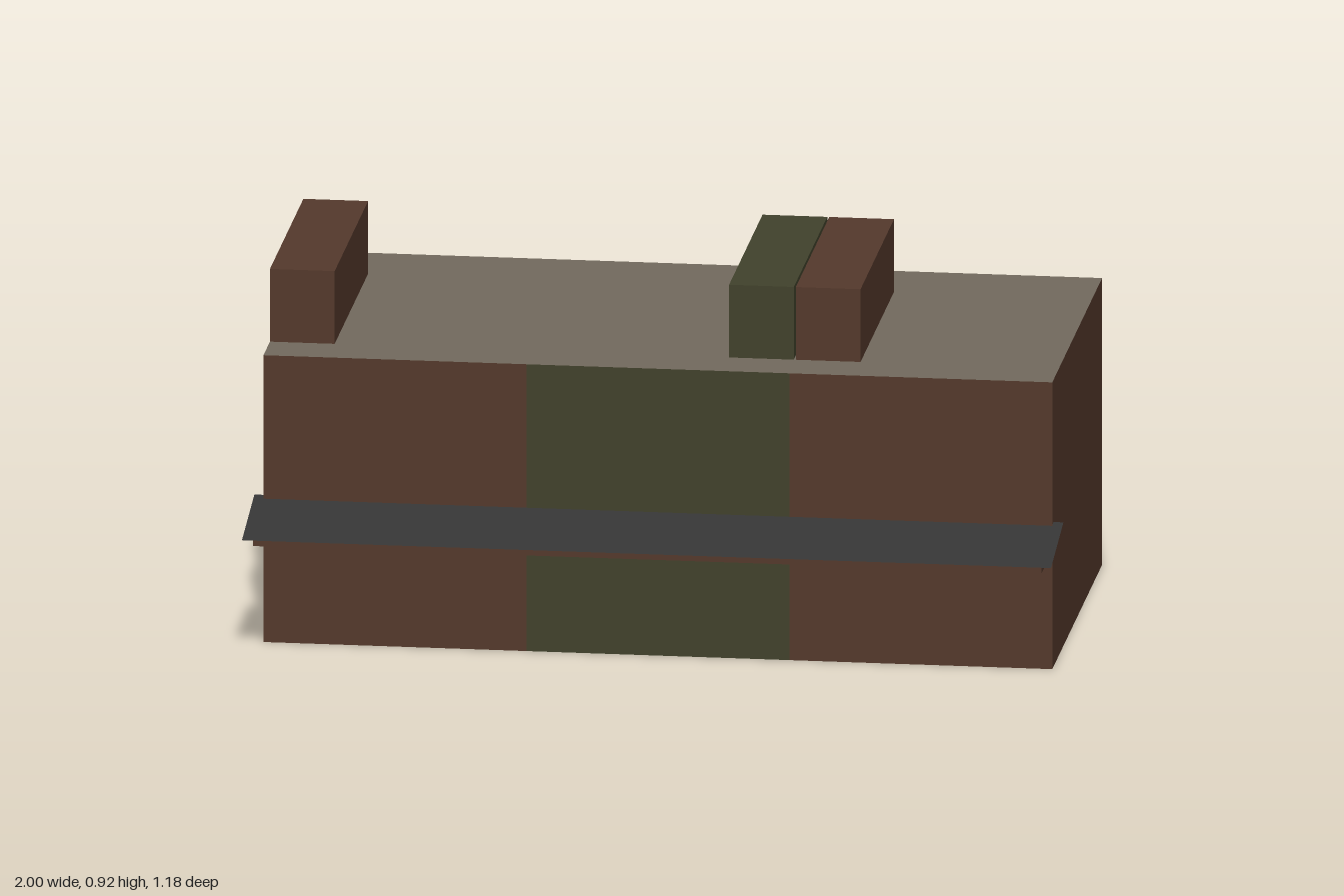
import * as THREE from 'three';

export function createModel() {
  const model = new THREE.Group();
  model.name = 'terracedBuilding';

  const material = (name, color) => {
    const m = new THREE.MeshStandardMaterial({ color, side: THREE.DoubleSide });
    m.name = name;
    return m;
  };
  const brown = material('brown brick', 0x54392c);
  const green = material('green brick', 0x41422c);
  const grey = material('grey roof', 0x736a5e);
  const dark = material('dark awning', 0x363636);

  const W = 0.65, H = 0.73, BACK = -0.59, FRONT = 0.37;
  const depth = FRONT - BACK, midZ = (FRONT + BACK) / 2;

  const add = (name, geometry, mat, x, y, z) => {
    const mesh = new THREE.Mesh(geometry, mat);
    mesh.name = name;
    mesh.position.set(x, y, z);
    model.add(mesh);
    return mesh;
  };

  // Three adjoining houses: front and back walls, one chimney block each
  const chimneyOffsets = [0, 0.485, 0];
  [brown, green, brown].forEach((mat, i) => {
    const x0 = (i - 1.5) * W;
    add('frontWall', new THREE.PlaneGeometry(W, H), mat, x0 + W / 2, H / 2, FRONT);
    add('backWall', new THREE.PlaneGeometry(W, H).rotateY(Math.PI), mat, x0 + W / 2, H / 2, BACK);
    add('chimney', new THREE.BoxGeometry(0.16, 0.185, 0.645), mat,
      x0 + chimneyOffsets[i] + 0.08, H + 0.0925, -0.0775);
  });

  // End walls and the partitions between the houses, open underneath
  for (let i = 0; i < 4; i++) {
    const side = i === 0 ? -1 : 1;
    const wall = new THREE.PlaneGeometry(depth, H).rotateY(side * Math.PI / 2);
    add(i % 3 ? 'partition' : 'endWall', wall, brown, (i - 1.5) * W, H / 2, midZ);
  }

  // Flat roof
  add('roof', new THREE.PlaneGeometry(3 * W, depth).rotateX(-Math.PI / 2), grey, 0, H, midZ);

  // Wedge-shaped ledge carrying the awning
  const profile = new THREE.Shape([
    new THREE.Vector2(FRONT, 0.301),
    new THREE.Vector2(0.575, 0.301),
    new THREE.Vector2(0.575, 0.319),
    new THREE.Vector2(FRONT, 0.362),
  ]);
  const ledge = new THREE.ExtrudeGeometry(profile, { depth: 3 * W, bevelEnabled: false })
    .rotateY(-Math.PI / 2);
  add('awningLedge', ledge, brown, 1.5 * W, 0, 0);

  // Sloping awning sheet, its upper edge passing through the wall
  const run = 0.24, drop = 0.05;
  const sheet = new THREE.PlaneGeometry(2, Math.hypot(run, drop))
    .rotateX(-Math.PI / 2 + Math.atan2(drop, run));
  add('awning', sheet, dark, 0, 0.344, 0.47);

  return model;
}
